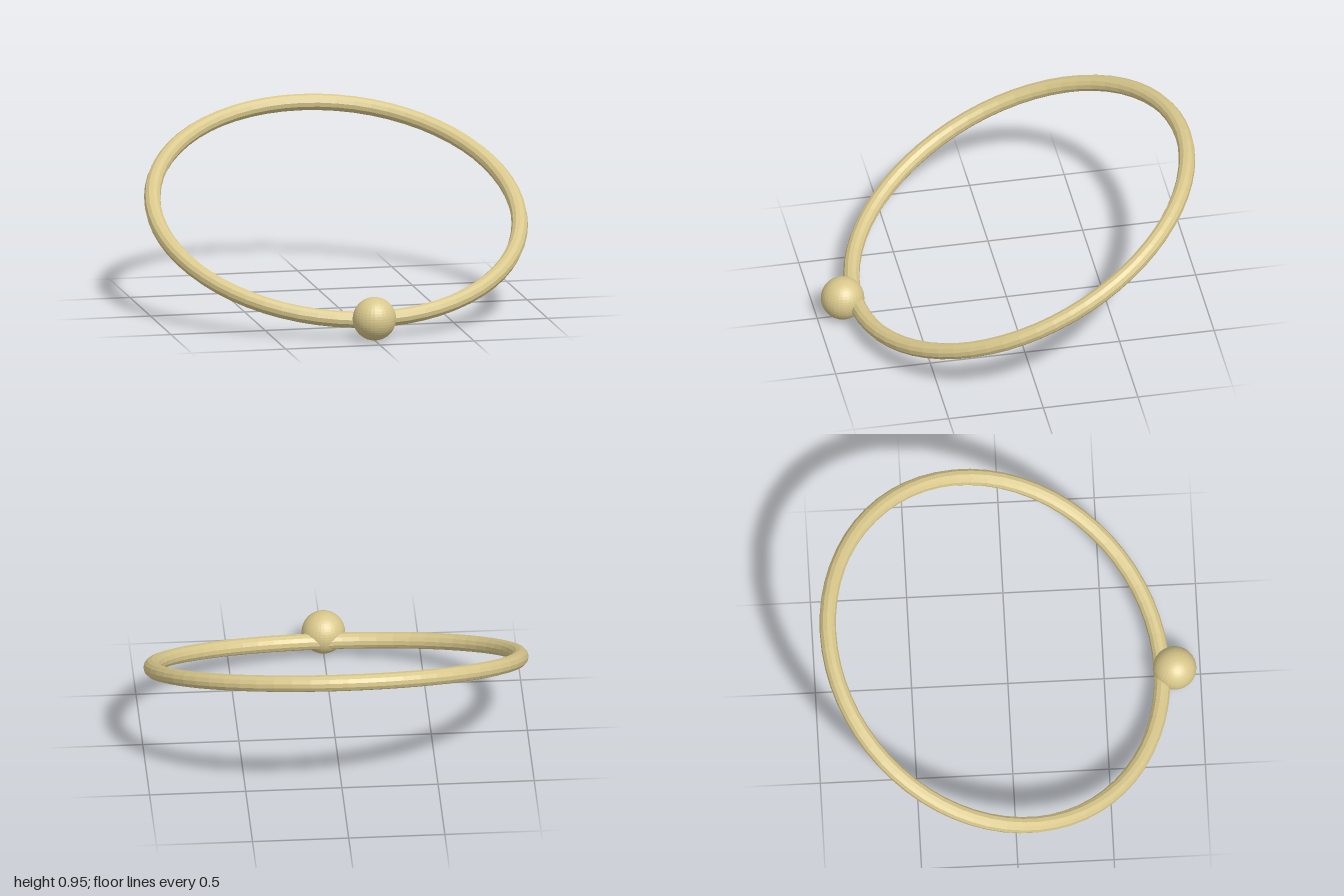
import * as THREE from 'three';

export function createModel() {
  const model = new THREE.Group();
  model.name = 'beadedRing';
  const material = new THREE.MeshStandardMaterial({ color: 0xd9c88c, flatShading: true });

  // Slim hoop, tilted so that its back is raised
  const hoop = new THREE.Mesh(new THREE.TorusGeometry(0.957, 0.043, 12, 64), material);
  hoop.name = 'hoop';
  hoop.rotation.x = Math.PI / 2 + THREE.MathUtils.degToRad(25);
  hoop.position.set(0, 0.503, -0.067);
  model.add(hoop);

  // Ball on the outside of the low front edge
  const ball = new THREE.Mesh(new THREE.SphereGeometry(0.113, 32, 24), material);
  ball.name = 'ball';
  ball.position.set(0, 0.115, 0.866);
  model.add(ball);

  return model;
}
